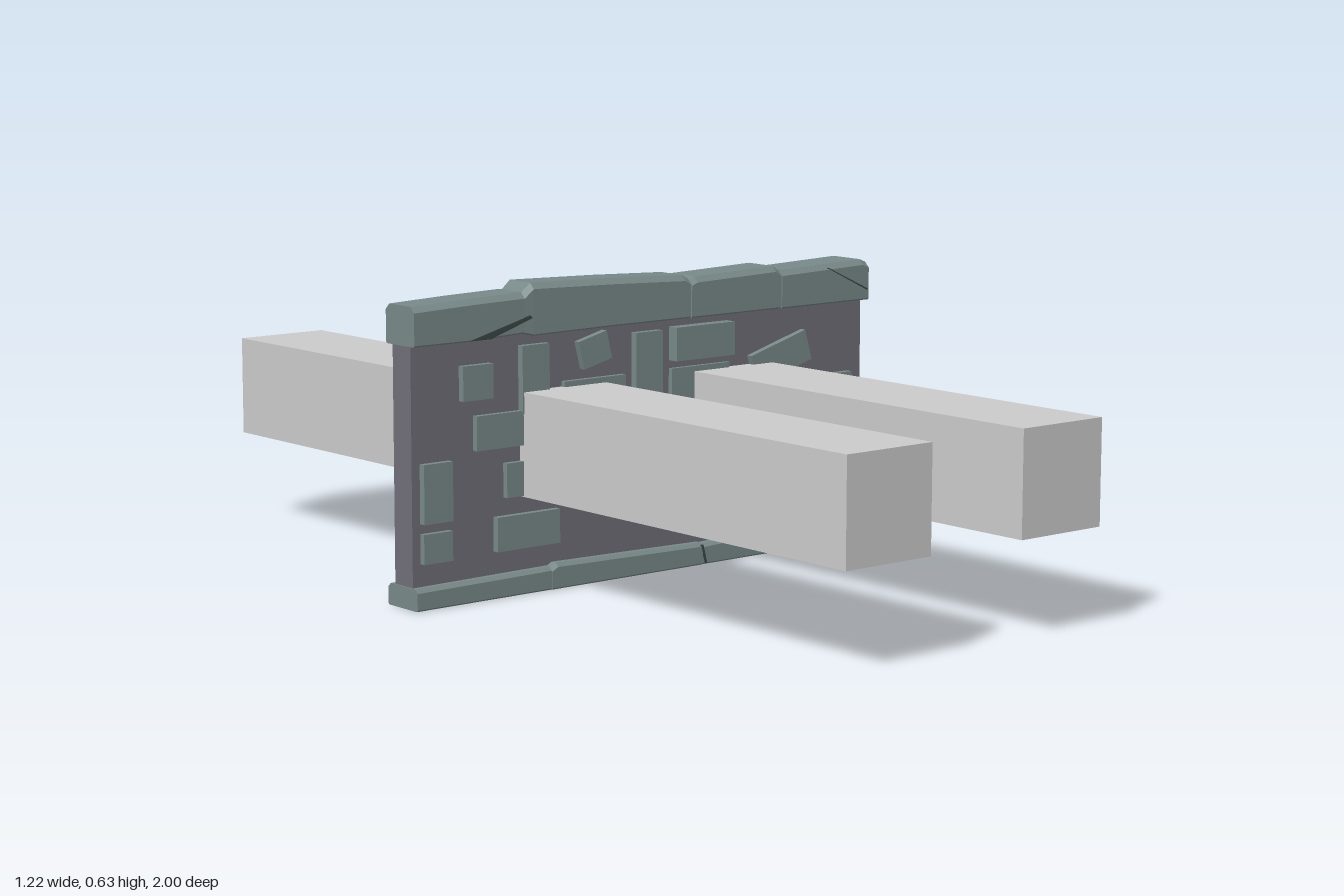
import * as THREE from 'three';

const mat = (color) => new THREE.MeshStandardMaterial({ color, flatShading: true });

// Chamfered block lofted along x; each station is [x, bottom, top, half depth]
function slab(stations, cTop, cBottom) {
  const pos = [], idx = [], n = 8;
  for (const [x, b, t, h] of stations) {
    const ring = [
      [b, h - cBottom], [b + cBottom, h], [t - cTop, h], [t, h - cTop],
      [t, cTop - h], [t - cTop, -h], [b + cBottom, -h], [b, cBottom - h],
    ];
    for (const [y, z] of ring) pos.push(x, y, z);
  }
  const last = (stations.length - 1) * n;
  for (let s = 0; s < last; s += n) {
    for (let i = 0; i < n; i++) {
      const j = (i + 1) % n;
      idx.push(s + i, s + n + i, s + n + j, s + i, s + n + j, s + j);
    }
  }
  for (let i = 1; i < n - 1; i++) {
    idx.push(0, i, i + 1, last, last + i + 1, last + i);
  }
  const g = new THREE.BufferGeometry();
  g.setAttribute('position', new THREE.Float32BufferAttribute(pos, 3));
  g.setIndex(idx);
  const flat = g.toNonIndexed();
  flat.computeVertexNormals();
  return flat;
}

export function createModel() {
  const model = new THREE.Group();
  const stone = mat(0x788888), mortar = mat(0x706f79);
  const dark = mat(0x3c4646), grey = mat(0xcccccc);

  const add = (name, geometry, material, parent = model) => {
    const mesh = new THREE.Mesh(geometry, material);
    mesh.name = name;
    parent.add(mesh);
    return mesh;
  };

  // Wall core
  add('wallCore', new THREE.BoxGeometry(1.21, 0.51, 0.06), mortar).position.y = 0.285;

  // Two long beams through the wall
  for (const side of [-1, 1]) {
    const beam = add(side > 0 ? 'leftBeam' : 'rightBeam', new THREE.BoxGeometry(0.215, 0.215, 2), grey);
    beam.position.set(side * 0.2275, 0.3075, 0);
  }

  // Coping stones with worn, uneven tops
  const coping = new THREE.Group();
  coping.name = 'coping';
  model.add(coping);
  const capBlocks = [
    [[-0.608, 0.53, 0.61, 0.048], [-0.47, 0.53, 0.615, 0.048], [-0.335, 0.535, 0.618, 0.048]],
    [[-0.34, 0.535, 0.61, 0.044], [-0.31, 0.528, 0.635, 0.046], [-0.1, 0.53, 0.629, 0.046], [0.09, 0.53, 0.621, 0.046], [0.11, 0.53, 0.61, 0.046]],
    [[0.105, 0.53, 0.61, 0.05], [0.12, 0.53, 0.616, 0.05], [0.34, 0.53, 0.622, 0.05], [0.355, 0.53, 0.612, 0.05]],
    [[0.355, 0.53, 0.612, 0.053], [0.59, 0.53, 0.619, 0.053], [0.608, 0.53, 0.612, 0.053]],
  ];
  for (const block of capBlocks) add('copingStone', slab(block, 0.012, 0.003), stone, coping);

  // Plinth stones along the ground
  const plinth = new THREE.Group();
  plinth.name = 'plinth';
  model.add(plinth);
  const baseBlocks = [
    [[-0.608, 0, 0.045, 0.05], [-0.27, 0, 0.048, 0.05]],
    [[-0.27, 0, 0.046, 0.052], [-0.255, 0, 0.054, 0.052], [0.135, 0, 0.047, 0.052]],
    [[0.135, 0, 0.045, 0.05], [0.365, 0, 0.053, 0.05]],
    [[0.365, 0, 0.052, 0.055], [0.608, 0, 0.045, 0.055]],
  ];
  for (const block of baseBlocks) add('plinthStone', slab(block, 0.008, 0.003), stone, plinth);

  // Bricks run right through the wall: [x, y, width, height, tilt in degrees, half depth]
  const bricks = [
    [-0.45, 0.446, 0.075, 0.071, 0, 0.045], [-0.304, 0.44, 0.069, 0.14, 0, 0.045],
    [-0.15, 0.485, 0.075, 0.06, 14, 0.045], [-0.007, 0.431, 0.071, 0.16, 0, 0.046],
    [0.138, 0.479, 0.16, 0.071, 0, 0.057], [0.362, 0.423, 0.16, 0.068, 16, 0.045],
    [0.526, 0.339, 0.081, 0.071, 0, 0.045], [0.499, 0.244, 0.16, 0.071, 0, 0.045],
    [0.428, 0.137, 0.16, 0.071, 0, 0.043], [0.206, 0.149, 0.069, 0.094, 0, 0.043],
    [-0.037, 0.176, 0.16, 0.071, 0, 0.043], [-0.08, 0.29, 0.16, 0.071, -8, 0.045],
    [-0.324, 0.13, 0.16, 0.071, 0, 0.045], [-0.55, 0.122, 0.071, 0.061, 0, 0.043],
    [-0.55, 0.233, 0.071, 0.121, 0, 0.045], [-0.373, 0.342, 0.16, 0.071, 0, 0.043],
    [-0.298, 0.238, 0.16, 0.071, 0, 0.043], [-0.148, 0.391, 0.16, 0.071, 0, 0.042],
    [0.138, 0.391, 0.16, 0.071, 0, 0.04], [0.308, 0.233, 0.16, 0.069, 0, 0.043],
    [-0.185, 0.215, 0.085, 0.071, 0, 0.042],
  ];
  const brickwork = new THREE.Group();
  brickwork.name = 'brickwork';
  model.add(brickwork);
  for (const [x, y, w, h, tilt, d] of bricks) {
    const brick = add('brick', new THREE.BoxGeometry(w, h, d * 2), stone, brickwork);
    brick.position.set(x, y, 0);
    brick.rotation.z = THREE.MathUtils.degToRad(tilt);
  }

  // Dark slivers for the cracks, showing on both faces: [half depth, outline points]
  const cracks = [
    [0.0485, [[-0.475, 0.531], [-0.42, 0.531], [-0.315, 0.565], [-0.32, 0.571]]],
    [0.0535, [[0.485, 0.608], [0.604, 0.551], [0.604, 0.555], [0.489, 0.608]]],
    [0.0525, [[0.13, 0.043], [0.142, 0.002], [0.147, 0.002], [0.136, 0.043]]],
  ];
  for (const [d, pts] of cracks) {
    const shape = new THREE.Shape(pts.map(([x, y]) => new THREE.Vector2(x, y)));
    const g = new THREE.ExtrudeGeometry(shape, { depth: d * 2, bevelEnabled: false });
    add('crack', g.translate(0, 0, -d), dark);
  }
  return model;
}
